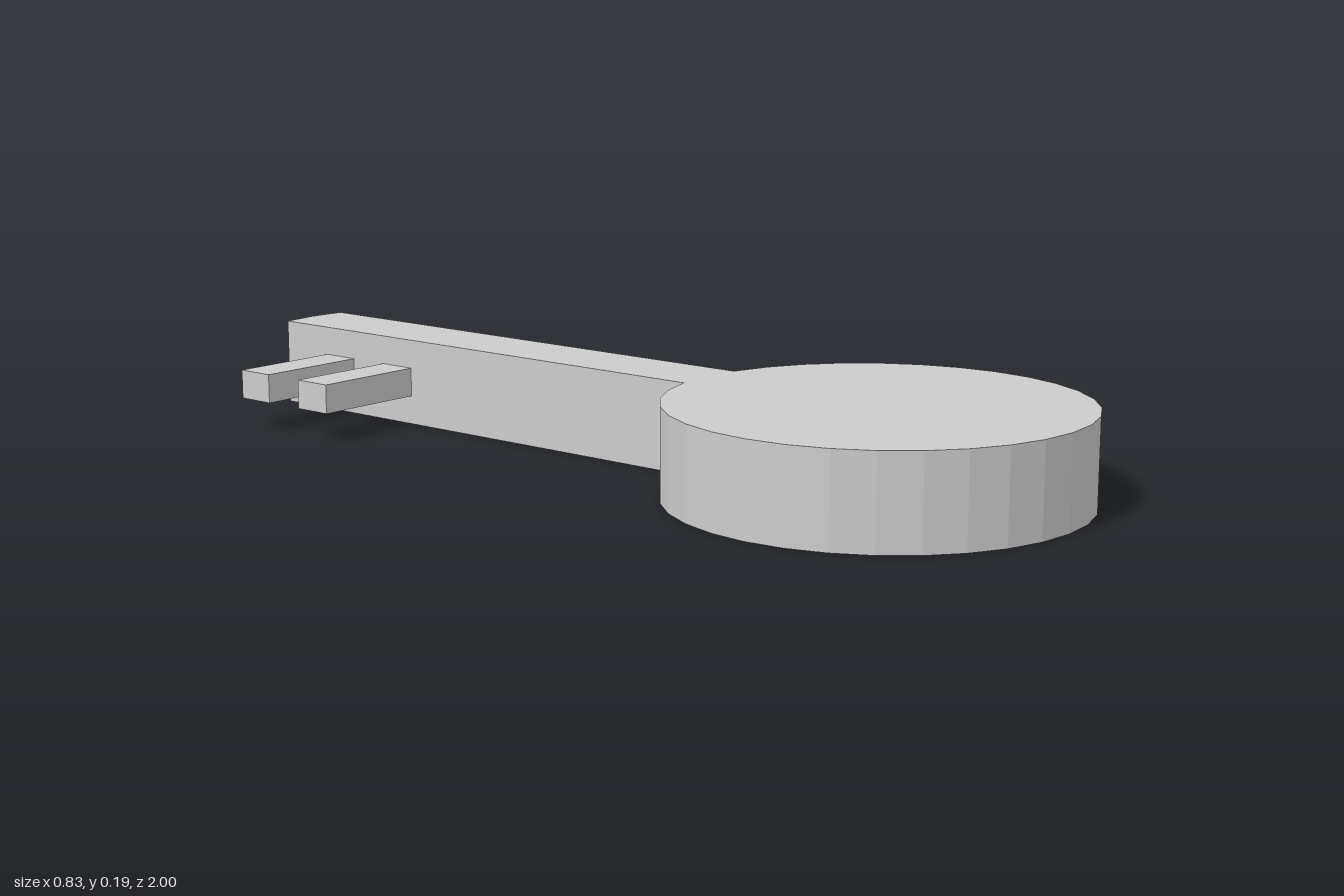
import * as THREE from 'three';

export function createModel() {
  const model = new THREE.Group();
  const material = new THREE.MeshStandardMaterial({ color: 0xcccccc, flatShading: true });

  const height = 0.187, radius = 0.417, headZ = 0.583, sides = 32;
  const halfWidth = radius * Math.sin((2 * Math.PI) / sides);
  const tipZ = -1, tipBulge = radius * (1 - Math.cos((2 * Math.PI) / sides));

  // Outline of round head and shaft in one piece (shape y becomes -z)
  const outline = [];
  for (let i = 1; i < sides; i++) {
    const a = Math.PI / 2 + (i / sides) * Math.PI * 2;
    outline.push(new THREE.Vector2(radius * Math.cos(a), radius * Math.sin(a) - headZ));
  }
  // Slightly rounded shaft tip
  outline.push(
    new THREE.Vector2(halfWidth, -tipZ - tipBulge),
    new THREE.Vector2(0, -tipZ),
    new THREE.Vector2(-halfWidth, -tipZ - tipBulge)
  );
  const bodyGeometry = new THREE.ExtrudeGeometry(new THREE.Shape(outline), { depth: height, bevelEnabled: false });
  bodyGeometry.rotateX(-Math.PI / 2);
  const body = new THREE.Mesh(bodyGeometry, material);
  body.name = 'headAndShaft';
  model.add(body);

  // Two teeth, a third of the shaft's height, on its right side
  const toothEnd = -0.333, toothLength = -halfWidth - toothEnd;
  [-0.818, -0.637].forEach((z, i) => {
    const tooth = new THREE.Mesh(new THREE.BoxGeometry(toothLength, height / 3, 0.087), material);
    tooth.position.set(toothEnd + toothLength / 2, height / 2, z);
    tooth.name = `tooth${i + 1}`;
    model.add(tooth);
  });

  return model;
}
